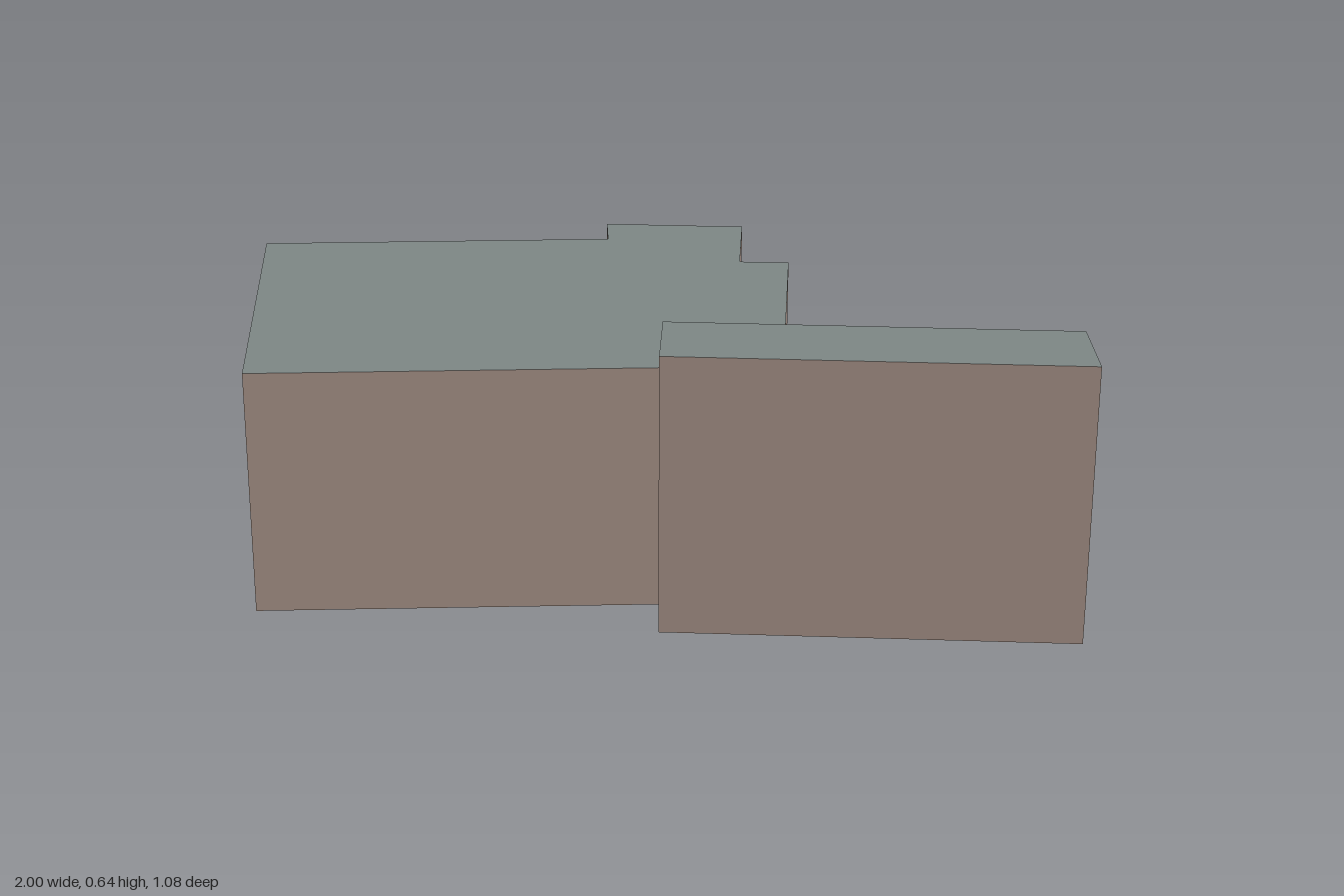
import * as THREE from 'three';

const material = (name, color) => {
  const m = new THREE.MeshStandardMaterial({ color, side: THREE.DoubleSide });
  m.name = name;
  return m;
};

// Upright walls around a footprint of [x, z] corners, counter-clockwise from above
function wallGeometry(corners, height) {
  const positions = [];
  corners.forEach(([ax, az], i) => {
    const [bx, bz] = corners[(i + 1) % corners.length];
    positions.push(ax, 0, az, bx, 0, bz, bx, height, bz);
    positions.push(ax, 0, az, bx, height, bz, ax, height, az);
  });
  const geometry = new THREE.BufferGeometry();
  geometry.setAttribute('position', new THREE.Float32BufferAttribute(positions, 3));
  geometry.computeVertexNormals();
  return geometry;
}

// Flat roof over the same footprint
function roofGeometry(corners, height) {
  const shape = new THREE.Shape(corners.map(([x, z]) => new THREE.Vector2(x, -z)));
  return new THREE.ShapeGeometry(shape).rotateX(-Math.PI / 2).translate(0, height, 0);
}

// A block has walls and a roof, and is open underneath
function block(name, corners, height, wallMaterial, roofMaterial) {
  const group = new THREE.Group();
  group.name = name;
  const walls = new THREE.Mesh(wallGeometry(corners, height), wallMaterial);
  walls.name = name + 'Walls';
  const roof = new THREE.Mesh(roofGeometry(corners, height), roofMaterial);
  roof.name = name + 'Roof';
  group.add(walls, roof);
  return group;
}

export function createModel() {
  const brown = material('brown wall', 0xa08c82);
  const pale = material('pale wall', 0xb9b7a8);
  const slate = material('slate roof', 0x7f8987);

  const model = new THREE.Group();
  model.name = 'buildingCluster';

  // Main hall with a stepped back bay
  model.add(block('mainHall', [
    [-0.738, 0.537], [0.106, 0.356], [0.098, 0.306], [0.345, 0.273], [0.285, -0.232],
    [0.178, -0.218], [0.153, -0.418], [-0.152, -0.38], [-0.133, -0.294], [-0.882, -0.133],
  ], 0.557, brown, slate));

  // Taller, narrow front wing
  model.add(block('frontWing', [
    [0.118, 0.475], [0.997, 0.367], [0.957, 0.2], [0.096, 0.306],
  ], 0.638, brown, slate));

  // Low link between hall and annex
  model.add(block('link', [
    [-0.838, -0.143], [-0.478, -0.22], [-0.51, -0.367], [-0.87, -0.296],
  ], 0.125, brown, slate));

  // Pale annex with a notched corner
  model.add(block('annex', [
    [-0.963, -0.276], [-0.603, -0.348], [-0.622, -0.435], [-0.526, -0.456],
    [-0.543, -0.542], [-1, -0.447],
  ], 0.334, pale, slate));

  return model;
}
